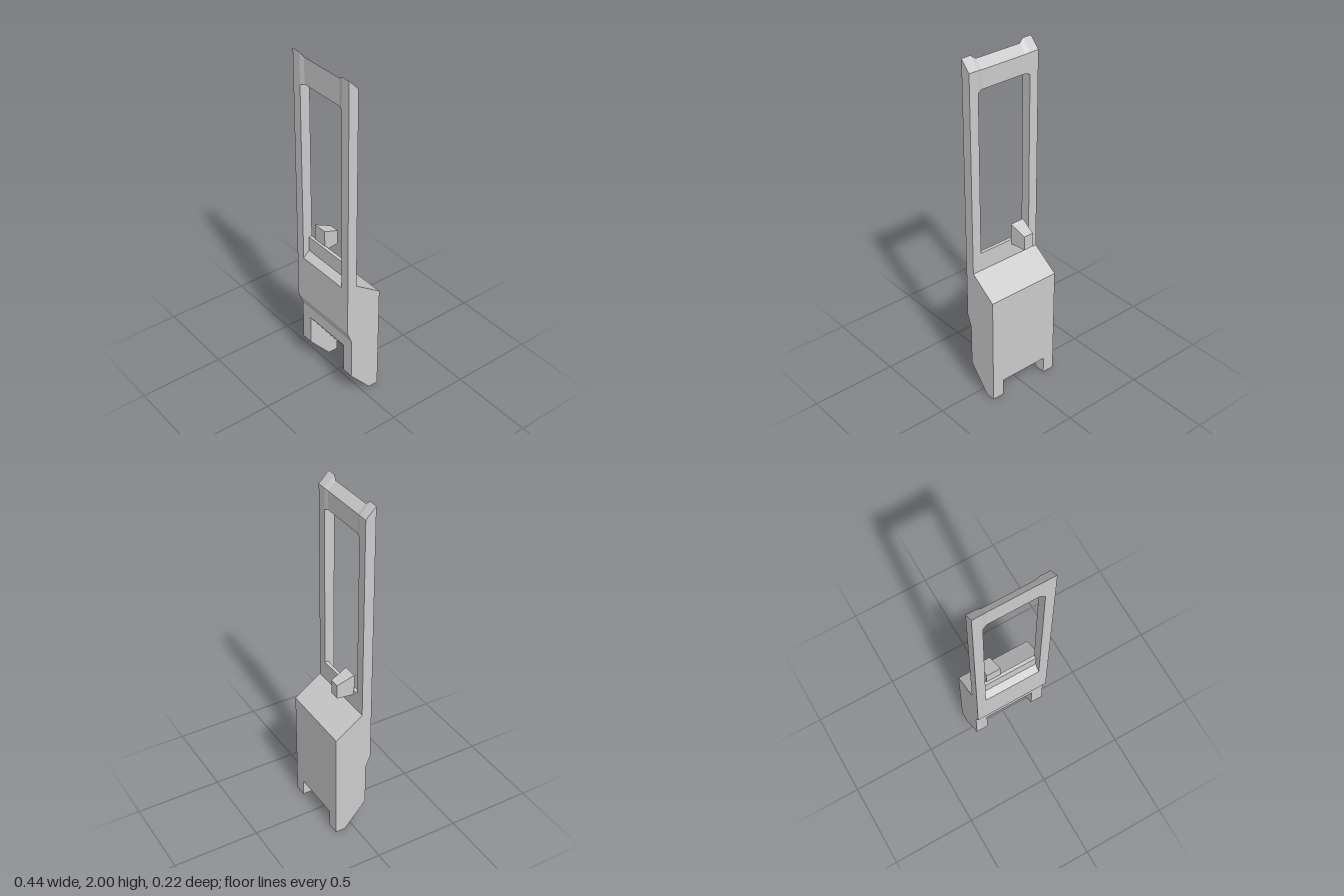
import * as THREE from 'three';
import { ConvexGeometry } from 'three/addons/geometries/ConvexGeometry.js';

const material = new THREE.MeshStandardMaterial({ color: 0xcccccc, flatShading: true });

// Joins side profiles, each a list of [z, y] corners placed at x, into a capped solid.
function loft(name, sections) {
  const pos = [];
  const put = (s, i) => {
    const [z, y] = s.profile[i % s.profile.length];
    pos.push(s.x, y, z);
  };
  for (let k = 0; k < sections.length - 1; k++) {
    const a = sections[k], b = sections[k + 1];
    for (let i = 0; i < a.profile.length; i++) {
      put(a, i); put(b, i); put(a, i + 1);
      put(a, i + 1); put(b, i); put(b, i + 1);
    }
  }
  const first = sections[0], last = sections[sections.length - 1];
  const contour = first.profile.map(([z, y]) => new THREE.Vector2(z, y));
  for (const [i, j, k] of THREE.ShapeUtils.triangulateShape(contour, [])) {
    put(first, i); put(first, j); put(first, k);
    put(last, i); put(last, k); put(last, j);
  }
  const geometry = new THREE.BufferGeometry();
  geometry.setAttribute('position', new THREE.Float32BufferAttribute(pos, 3));
  geometry.computeVertexNormals();
  const mesh = new THREE.Mesh(geometry, material);
  mesh.name = name;
  return mesh;
}

// Straight slab of one profile between two x positions
const slab = (name, profile, x0, x1) =>
  loft(name, [{ x: Math.min(x0, x1), profile }, { x: Math.max(x0, x1), profile }]);

export function createModel() {
  const model = new THREE.Group();
  model.name = 'gatePanel';
  const outer = 0.222, windowX = 0.167, legX = 0.15, barX = 0.14;

  const foot = [[-0.11, 0], [-0.05, 0], [0.08, 0.15]];
  const archedBottom = [[-0.11, 0.1], [-0.08, 0.1], [0.08, 0.33]];
  const frontStep = [[0.08, 0.4], [0.108, 0.47]];
  const cabinetBack = [[0.05, 0.77], [-0.11, 0.66]];
  const post = [[0.108, 2], [0.05, 1.94]];
  const sill = [[0.108, 0.755], [0.07, 0.79], [0.07, 0.88], [0.05, 0.88]];

  // Full-height sides and the inner edges of the legs
  for (const [side, s] of [['left', 1], ['right', -1]]) {
    model.add(slab(side + 'Post', [...foot, ...frontStep, ...post, ...cabinetBack], s * windowX, s * outer));
    model.add(slab(side + 'LegInner', [...foot, ...frontStep, ...sill, ...cabinetBack], s * legX, s * windowX));
  }

  // Cabinet between the legs, with the sloping foot recess and window sill
  model.add(slab('cabinet', [...archedBottom, ...frontStep, ...sill, ...cabinetBack], -legX, legX));

  // Top bar, slightly thinner in the middle
  const barEnd = [[0.05, 1.82], [0.108, 1.82], [0.108, 2], [0.05, 1.94]];
  const barMiddle = [[0.055, 1.83], [0.1, 1.83], [0.1, 1.98], [0.055, 1.935]];
  model.add(loft('topBar', [
    { x: -windowX, profile: barEnd },
    { x: -barX, profile: barMiddle },
    { x: barX, profile: barMiddle },
    { x: windowX, profile: barEnd },
  ]));

  // Tapered block behind the window sill
  const corners = [];
  for (const [z, top, x0, x1] of [[0.055, 0.975, -0.131, -0.045], [-0.042, 0.935, -0.117, -0.058]]) {
    for (const x of [x0, x1]) {
      for (const y of [0.85, top]) corners.push(new THREE.Vector3(x, y, z));
    }
  }
  const block = new THREE.Mesh(new ConvexGeometry(corners), material);
  block.name = 'sensorBlock';
  model.add(block);

  return model;
}
